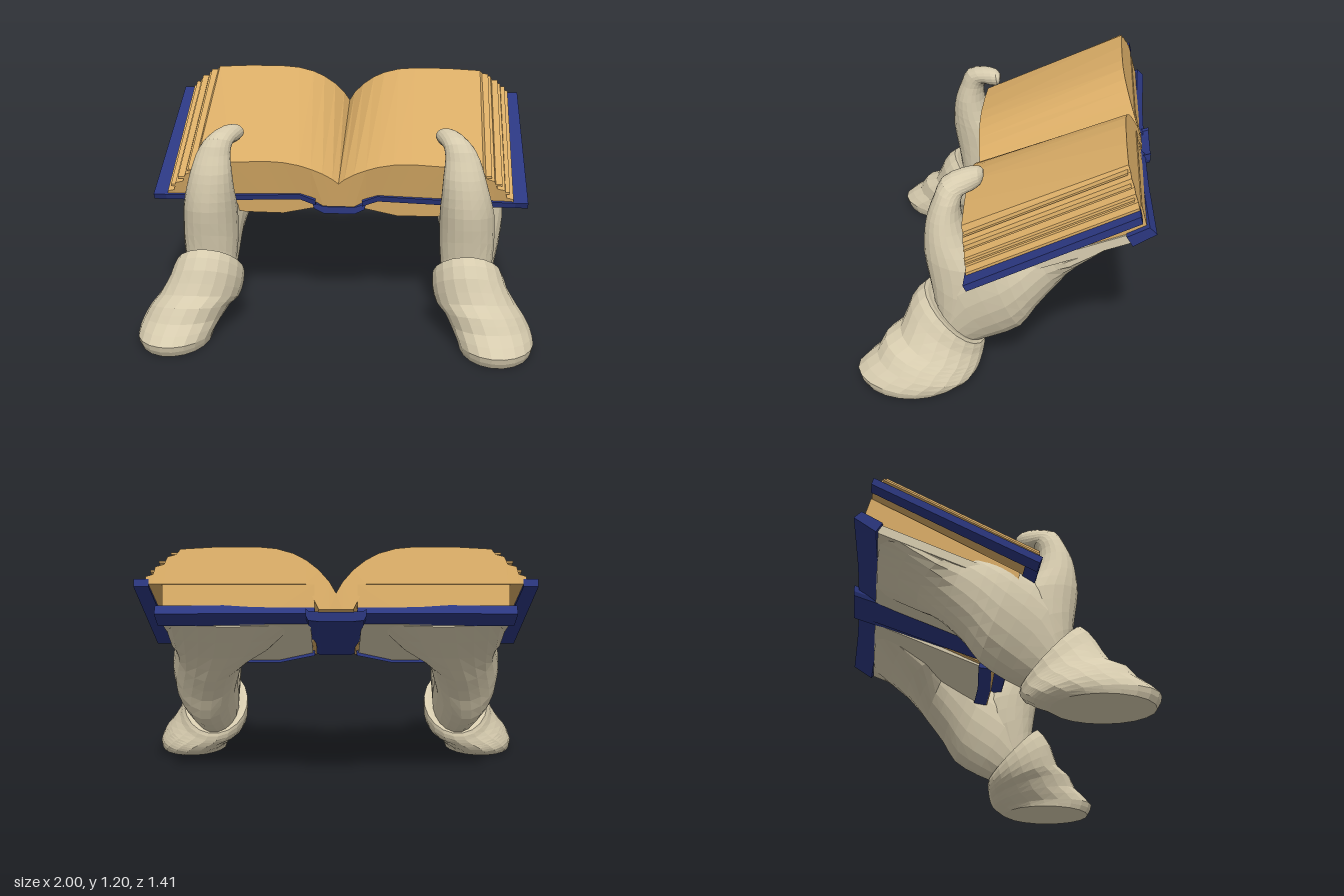
import * as THREE from 'three';

const material = (name, color) => Object.assign(new THREE.MeshStandardMaterial({ color }), { name });

// Closed solid through matching rings of points, with faceted normals and capped ends
function loft(rings) {
  const m = rings[0].length, tris = [];
  const quad = (a, b, c, d) => tris.push([a, b, c], [a, c, d]);
  for (let j = 0; j < rings.length - 1; j++) {
    const r = rings[j], s = rings[j + 1];
    for (let i = 0; i < m; i++) quad(r[i], r[(i + 1) % m], s[(i + 1) % m], s[i]);
  }
  const first = rings[0], last = rings[rings.length - 1];
  for (let i = 0; i < m / 2 - 1; i++) {
    quad(first[i + 1], first[i], first[m - 1 - i], first[m - 2 - i]);
    quad(last[i], last[i + 1], last[m - 2 - i], last[m - 1 - i]);
  }
  // Turn the faces outward whichever way the rings run
  let volume = 0;
  for (const [a, b, c] of tris) volume += a.dot(b.clone().cross(c));
  const positions = [];
  for (const [a, b, c] of tris) {
    for (const p of volume > 0 ? [a, b, c] : [a, c, b]) positions.push(p.x, p.y, p.z);
  }
  const geometry = new THREE.BufferGeometry();
  geometry.setAttribute('position', new THREE.Float32BufferAttribute(positions, 3));
  geometry.computeVertexNormals();
  return geometry;
}

// Ring from columns [x, topY, topZ, bottomY, bottomZ]
const section = (columns, side = 1) => [
  ...columns.map(([x, y, z]) => new THREE.Vector3(x * side, y, z)),
  ...columns.map(([x, , , y, z]) => new THREE.Vector3(x * side, y, z)).reverse(),
];

// Rounded limb from stations [centreX, radiusX, y1, z1, y2, z2]; 1 and 2 are opposite edges
function limb(stations, side, steps, segments = 20) {
  const curve = (f) => new THREE.CatmullRomCurve3(stations.map(f));
  const width = curve((s) => new THREE.Vector3(s[0], s[1], 0));
  const outer = curve((s) => new THREE.Vector3(0, s[2], s[3]));
  const inner = curve((s) => new THREE.Vector3(0, s[4], s[5]));
  const rings = [];
  for (let j = 0; j <= steps; j++) {
    const w = width.getPoint(j / steps), p = outer.getPoint(j / steps), q = inner.getPoint(j / steps);
    const ring = [];
    for (let i = 0; i < segments; i++) {
      const a = ((i + 0.5) / segments) * Math.PI * 2;
      const v = p.clone().lerp(q, 0.5 - 0.5 * Math.cos(a));
      v.x = side * (w.x + w.y * Math.sin(a));
      ring.push(v);
    }
    rings.push(ring);
  }
  return loft(rings);
}

// Page top profile: [x, front height, back height], with stepped sheets at the outer edge
const PAGE_TOP = [
  [0, 0.75, 0.99], [0.03, 0.775, 1.04], [0.08, 0.805, 1.095], [0.14, 0.83, 1.14], [0.2, 0.85, 1.17],
  [0.28, 0.865, 1.192], [0.37, 0.87, 1.2], [0.55, 0.86, 1.2], [0.73, 0.84, 1.19], [0.75, 0.8, 1.165],
  [0.79, 0.785, 1.155], [0.805, 0.745, 1.12], [0.845, 0.735, 1.11], [0.855, 0.695, 1.075], [0.89, 0.685, 1.065],
];
// Depth of the front and back page faces at a given height
const frontZ = (y) => 0.15 + (y - 0.66) * 0.2;
const backZ = (y) => -0.62 + (y - 1.05) * 0.4;

const SLEEVE = [
  [0.81, 0.18, 0, 0.68, 0, 0.2], [0.81, 0.19, 0.06, 0.705, 0.012, 0.17], [0.785, 0.2, 0.14, 0.61, 0.035, 0.13],
  [0.755, 0.2, 0.21, 0.57, 0.06, 0.11], [0.72, 0.205, 0.25, 0.5, 0.08, 0.1], [0.68, 0.19, 0.37, 0.45, 0.11, 0.09],
  [0.665, 0.175, 0.455, 0.38, 0.15, 0.09], [0.665, 0.13, 0.42, 0.35, 0.16, 0.12],
];
const THUMB = [
  [0.66, 0.12, 0.36, 0.33, 0.16, 0.16], [0.66, 0.14, 0.52, 0.355, 0.4, 0.05], [0.655, 0.138, 0.65, 0.375, 0.6, 0.06],
  [0.645, 0.122, 0.75, 0.372, 0.72, 0.15], [0.633, 0.104, 0.84, 0.358, 0.84, 0.195],
  [0.622, 0.086, 0.93, 0.325, 0.92, 0.195], [0.602, 0.074, 1.01, 0.288, 0.945, 0.18],
  [0.57, 0.066, 1.045, 0.2, 0.945, 0.145], [0.54, 0.052, 1.045, 0.125, 0.96, 0.11],
  [0.53, 0.025, 1.025, 0.1, 0.985, 0.1],
];
const PALM = [
  [0.66, 0.12, 0.38, 0.34, 0.13, 0.16], [0.67, 0.145, 0.6, 0.27, 0.185, 0.03], [0.685, 0.165, 0.74, 0.08, 0.27, -0.1],
  [0.668, 0.178, 0.8, -0.04, 0.38, -0.17], [0.635, 0.18, 0.84, -0.13, 0.5, -0.27],
  [0.57, 0.25, 0.76, -0.22, 0.64, -0.39], [0.51, 0.31, 0.86, -0.5, 0.825, -0.59],
];

export function createModel() {
  const model = new THREE.Group();
  const paper = material('paper', 0xd9ac66);
  const blue = material('blue cover', 0x2b3780);
  const cream = material('cream', 0xd6cbae);
  const add = (parent, name, geometry, mat) => {
    const mesh = new THREE.Mesh(geometry, mat);
    mesh.name = name;
    parent.add(mesh);
  };

  // Curved spine channel
  const spine = (rows, z) => section(rows.map(([x, top, bottom]) => [x, top, z, bottom, z]));
  add(model, 'spine', loft([
    spine([[-0.14, 0.665, 0.635], [-0.13, 0.63, 0.6], [-0.08, 0.612, 0.575], [0.08, 0.612, 0.575],
      [0.13, 0.63, 0.6], [0.14, 0.665, 0.635]], 0.13),
    spine([[-0.14, 0.925, 0.89], [-0.13, 0.915, 0.87], [-0.08, 0.91, 0.865], [0.08, 0.91, 0.865],
      [0.13, 0.915, 0.87], [0.14, 0.925, 0.89]], -0.705),
  ]), blue);

  for (const [side, label] of [[1, 'left'], [-1, 'right']]) {
    const book = new THREE.Group();
    book.name = label + 'BookHalf';
    model.add(book);

    // Open page block
    add(book, 'pages', loft([
      section(PAGE_TOP.map(([x, y]) => [x, y, frontZ(y), x < 0.13 ? 0.62 : 0.655, 0.145]), side),
      section(PAGE_TOP.map(([x, , y]) => (x < 0.13
        ? [x, y, backZ(y), 0.915, -0.665]
        : [x, y, backZ(y), 1.03, -0.625])), side),
    ]), paper);

    // Loose sheets standing out of the fore edge
    for (const [x, h] of [[0.775, 0.148], [0.83, 0.105], [0.87, 0.06]]) {
      const sheet = (y, z) => section([[0.6, y, z, y - 0.01, z], [x, y, z, y - 0.01, z]], side);
      const front = 0.665 + h, back = 1.04 + h * 0.9;
      add(book, 'looseSheet', loft([sheet(front, frontZ(front) - 0.004), sheet(back, backZ(back) + 0.01)]), paper);
    }

    // Cover: long outer rim and the lip along the front
    add(book, 'coverRim', loft([
      section([[0.88, 0.668, 0.16, 0.637, 0.145], [0.965, 0.668, 0.16, 0.637, 0.145]], side),
      section([[0.875, 1.055, -0.62, 1.02, -0.63], [0.945, 1.055, -0.62, 1.02, -0.63]], side),
    ]), blue);
    const lip = (z, dy) => section([[0.12, 0.655], [0.2, 0.685], [0.5, 0.675], [0.9, 0.668]]
      .map(([x, y]) => [x, y + dy, z, y + dy - 0.03, z - 0.01]), side);
    add(book, 'coverLip', loft([lip(0.16, 0), lip(0.1, 0.03)]), blue);

    // Pages below the board
    add(book, 'lowerPages', loft([
      section([[0.1, 0.64, 0.075, 0.59, 0.065], [0.3, 0.66, 0.075, 0.548, 0.065],
        [0.5, 0.66, 0.075, 0.55, 0.065], [0.81, 0.67, 0.075, 0.6, 0.065]], side),
      section([[0.1, 1.03, -0.63, 0.91, -0.66], [0.3, 1.03, -0.63, 0.9, -0.665],
        [0.5, 1.03, -0.63, 0.9, -0.665], [0.81, 1.03, -0.63, 0.9, -0.665]], side),
    ]), paper);

    // Lower cover edges, back and front
    const edge = (profile, x, dy, dz) => profile.map(([y, z]) => new THREE.Vector3(x * side, y + dy, z + dz));
    const backEdge = [[0.88, -0.57], [0.935, -0.67], [0.9, -0.705], [0.83, -0.6]];
    add(book, 'backCoverEdge', loft([
      edge(backEdge, 0.1, 0, 0.025), edge(backEdge, 0.4, 0, 0.02), edge(backEdge, 0.84, 0, 0),
    ]), blue);
    const frontEdge = [[0.03, 0.06], [0.05, 0], [0.008, -0.01], [0, 0.06]];
    add(book, 'frontCoverEdge', loft([
      edge(frontEdge, 0.11, 0.59, -0.015), edge(frontEdge, 0.3, 0.549, 0),
      edge(frontEdge, 0.5, 0.551, 0), edge(frontEdge, 0.805, 0.597, -0.005),
    ]), blue);

    // Hand: sleeve, thumb, palm and flat fingers under the book
    const hand = new THREE.Group();
    hand.name = label + 'Hand';
    model.add(hand);
    add(hand, 'sleeve', limb(SLEEVE, side, 14), cream);
    add(hand, 'thumb', limb(THUMB, side, 18), cream);
    add(hand, 'palm', limb(PALM, side, 12), cream);
    add(hand, 'fingers', loft([
      section([[0.12, 0.65, -0.005, 0.61, -0.015], [0.3, 0.64, -0.005, 0.57, -0.005],
        [0.5, 0.64, -0.005, 0.572, -0.005], [0.82, 0.66, -0.015, 0.613, -0.015]], side),
      section([0.12, 0.3, 0.5, 0.82].map((x) => [x, 0.885, -0.59, 0.835, -0.59]), side),
    ]), cream);
  }
  return model;
}
